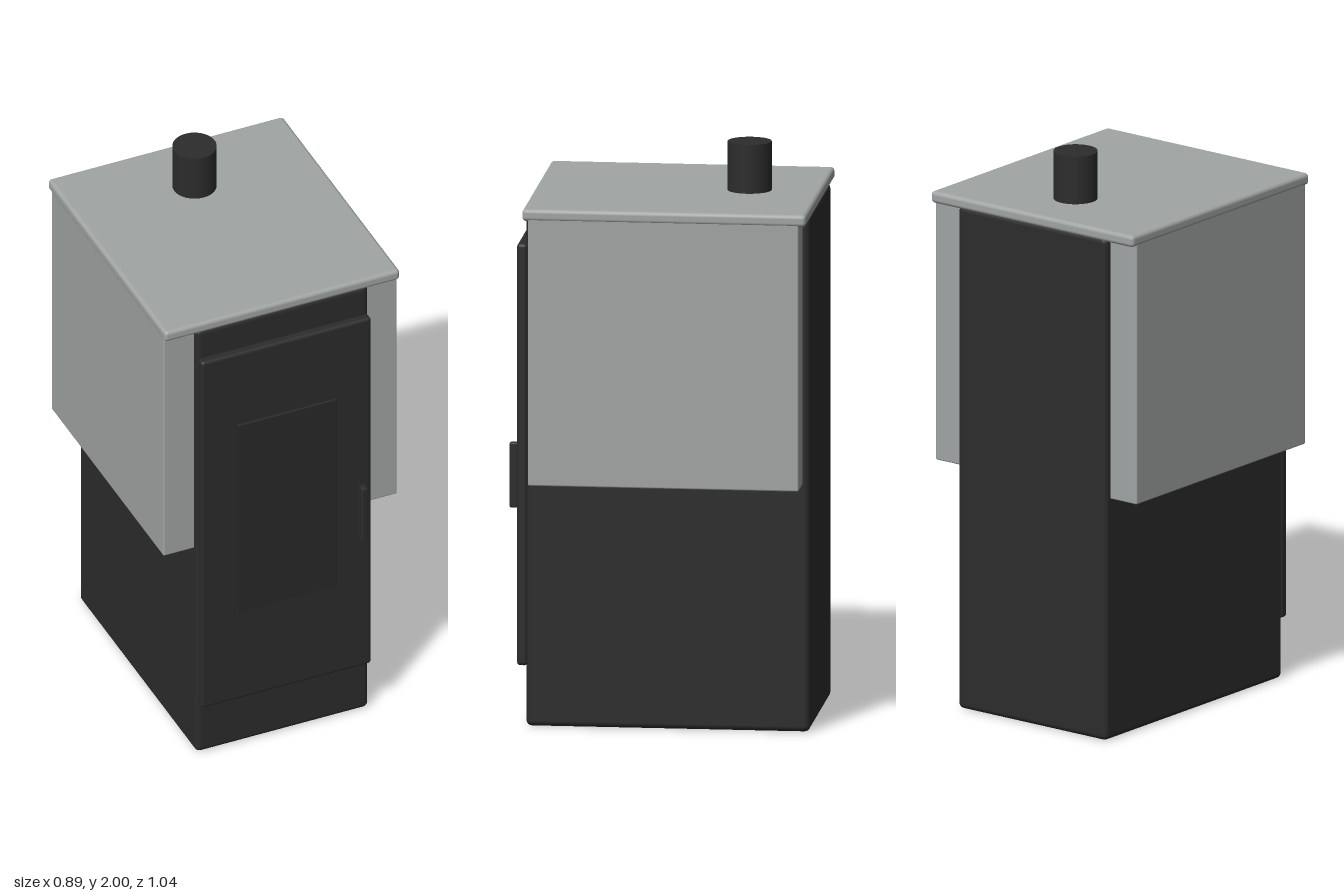
import * as THREE from 'three';
import { RoundedBoxGeometry } from 'three/addons/geometries/RoundedBoxGeometry.js';

function material(name, color) {
  const m = new THREE.MeshStandardMaterial({ color });
  m.name = name;
  return m;
}

export function createModel() {
  const stove = new THREE.Group();
  stove.name = 'stove';
  const steel = material('black steel', 0x2c2c2c);
  const stone = material('grey stone', 0xa1a5a4);
  const glass = material('dark glass', 0x292929);

  // Rounded block given by its minimum and maximum corners
  function block(name, mat, min, max, radius) {
    const size = max.map((v, i) => v - min[i]);
    const mesh = new THREE.Mesh(new RoundedBoxGeometry(...size, 3, radius), mat);
    mesh.position.set(...max.map((v, i) => (v + min[i]) / 2));
    mesh.name = name;
    stove.add(mesh);
    return mesh;
  }

  // Firebox body
  block('body', steel, [-0.325, 0, -0.52], [0.325, 1.8, 0.46], 0.02);

  // Stone cladding on both sides and the top slab
  block('leftSidePanel', stone, [0.315, 0.863, -0.495], [0.44, 1.8, 0.44], 0.006);
  block('rightSidePanel', stone, [-0.44, 0.863, -0.495], [-0.315, 1.8, 0.44], 0.006);
  block('topSlab', stone, [-0.443, 1.788, -0.52], [0.443, 1.83, 0.46], 0.014);

  // Door with window and handle
  block('door', steel, [-0.32, 0.21, 0.455], [0.32, 1.685, 0.492], 0.012);
  block('doorWindow', glass, [-0.187, 0.59, 0.492], [0.187, 1.385, 0.501], 0.003);
  block('doorHandle', steel, [0.272, 0.758, 0.485], [0.296, 0.985, 0.52], 0.005);

  // Flue pipe
  const flue = new THREE.Mesh(new THREE.CylinderGeometry(0.076, 0.076, 0.172, 48), steel);
  flue.position.set(0, 1.914, -0.276);
  flue.name = 'fluePipe';
  stove.add(flue);

  return stove;
}
